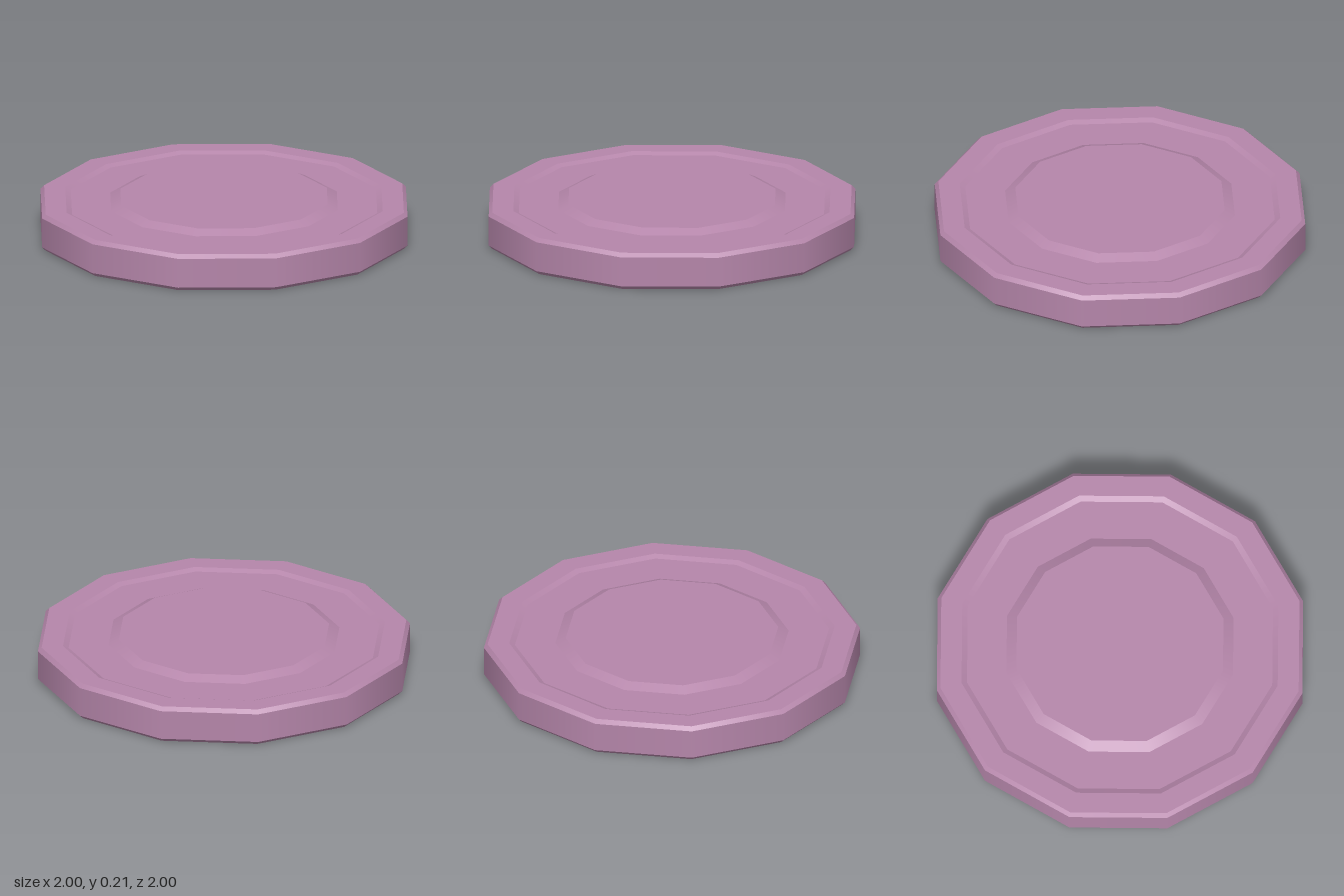
import * as THREE from 'three';

const SIDES = 12;

// Twelve-sided rings, one per profile segment: smooth around, sharp between rings
function addBands(group, name, points, material) {
  const part = new THREE.Group();
  part.name = name;
  for (let i = 0; i < points.length - 1; i++) {
    const pair = [points[i], points[i + 1]].map(([r, y]) => new THREE.Vector2(r, y));
    const mesh = new THREE.Mesh(new THREE.LatheGeometry(pair, SIDES), material);
    mesh.name = name + 'Band' + (i + 1);
    part.add(mesh);
  }
  group.add(part);
}

export function createModel() {
  const model = new THREE.Group();
  model.name = 'lid';
  const mauve = new THREE.MeshStandardMaterial({ color: 0xb586aa });
  mauve.name = 'mauve';

  // Recessed underside: floor, sloping inner wall and flat bottom rim
  addBands(model, 'underside', [[0, 0.11], [0.9, 0.11], [0.94, 0], [0.98, 0]], mauve);

  // Outer wall with a small bevel below and above
  addBands(model, 'outerWall', [[0.98, 0], [1, 0.02], [1, 0.18], [0.98, 0.2]], mauve);

  // Top: border, shallow groove and raised centre
  addBands(model, 'top', [
    [0.98, 0.2], [0.865, 0.2], [0.835, 0.187], [0.62, 0.187], [0.565, 0.213], [0, 0.213],
  ], mauve);

  return model;
}
